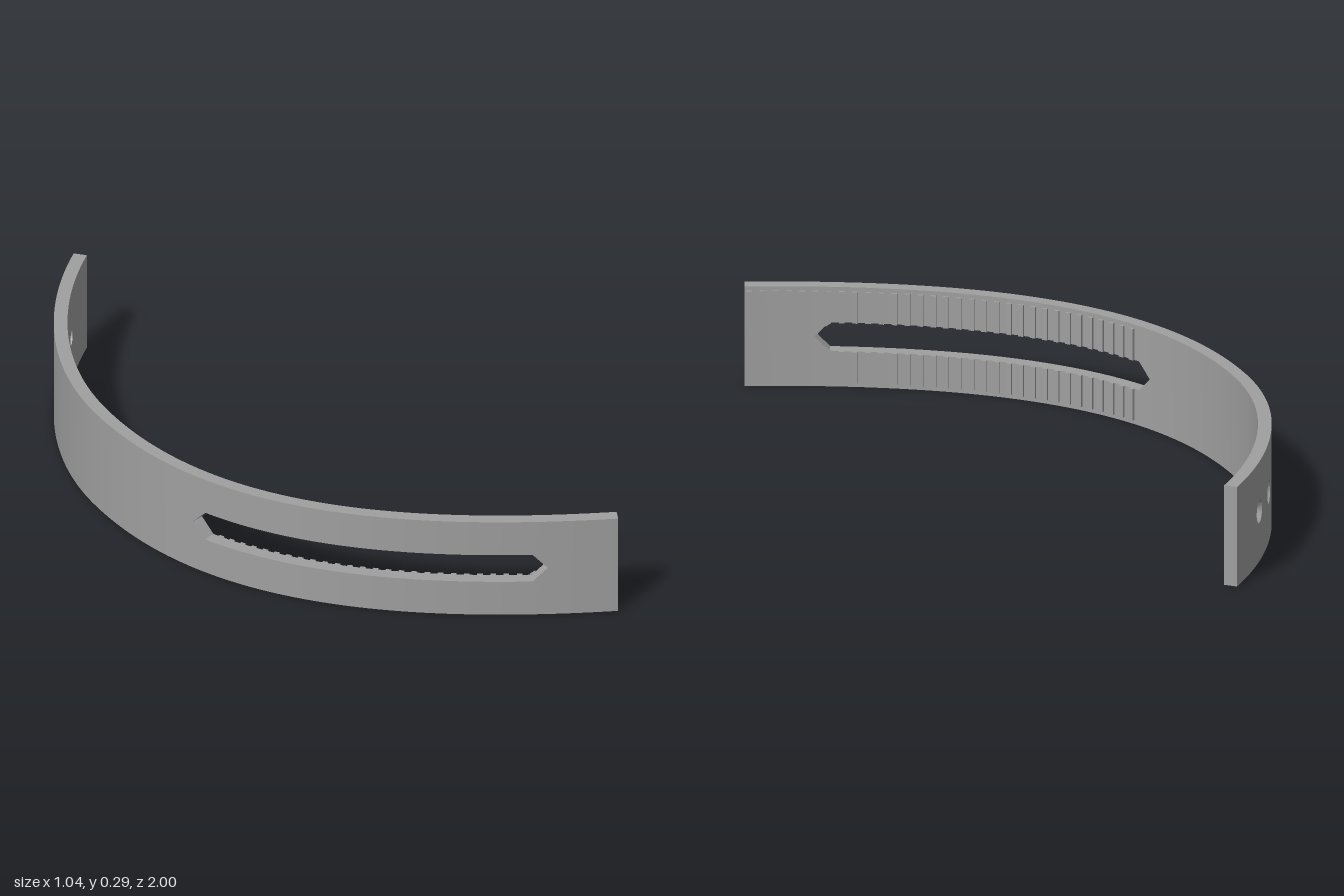
import * as THREE from 'three';
import { toCreasedNormals } from 'three/addons/utils/BufferGeometryUtils.js';

const H = 0.295, T = 0.038, MID = H / 2;
const SLOT = 0.0425; // half height of the slot
const V = (x, z) => new THREE.Vector2(x, z);

// Outer line of the band seen from above (x, z), running from back to front
const path = new THREE.CurvePath();
path.add(new THREE.CubicBezierCurve(V(-0.17, -1), V(-0.36, -0.8), V(-0.52, -0.5), V(-0.52, -0.19)));
path.add(new THREE.CubicBezierCurve(V(-0.52, -0.19), V(-0.52, 0.39), V(-0.153, 0.76), V(0.505, 1)));
const L = path.getLength();

// Point at length s along the band, height y, depth d inward from the outer face
function P(s, y, d) {
  const u = THREE.MathUtils.clamp(s / L, 0, 1);
  const c = path.getPoint(u), t = path.getTangent(u);
  return [c.x + t.y * d, y, c.y - t.x * d];
}

// Length along the band at a given z
function lengthAt(z) {
  let a = 0, b = 1;
  for (let i = 0; i < 30; i++) {
    const m = (a + b) / 2;
    if (path.getPoint(m).y < z) a = m; else b = m;
  }
  return a * L;
}

// Collects quads into one geometry
function builder() {
  const pos = [];
  const quad = (a, b, c, d) => pos.push(...a, ...b, ...c, ...a, ...c, ...d);
  return {
    quad,
    // Curved slab from s0 to s1 between two height functions
    panel(s0, s1, lo, hi, d0, d1, n, capStart = false, capEnd = false) {
      const corners = (s) => [P(s, lo(s), d0), P(s, hi(s), d0), P(s, hi(s), d1), P(s, lo(s), d1)];
      let a = corners(s0);
      if (capStart) quad(...a);
      for (let i = 1; i <= n; i++) {
        const b = corners(s0 + (s1 - s0) * i / n);
        quad(a[0], b[0], b[1], a[1]);
        quad(a[3], a[2], b[2], b[3]);
        quad(a[1], b[1], b[2], a[2]);
        quad(a[0], a[3], b[3], b[0]);
        a = b;
      }
      if (capEnd) quad(a[0], a[3], a[2], a[1]);
    },
    mesh(name, material, crease) {
      const g = new THREE.BufferGeometry();
      g.setAttribute('position', new THREE.Float32BufferAttribute(pos, 3));
      const m = new THREE.Mesh(toCreasedNormals(g, crease), material);
      m.name = name;
      return m;
    },
  };
}

// Full-height piece of band with a countersunk round hole
function holePiece(b, sc, hw) {
  const c = Math.atan2(MID, hw);
  const breaks = [-c, c, Math.PI - c, Math.PI + c, 2 * Math.PI - c];
  const profile = [[0.034, 0], [0.024, 0.019], [0.024, T]];
  const circle = (a, r, d) => P(sc + r * Math.cos(a), MID + r * Math.sin(a), d);
  const rim = (a, d) => {
    const k = Math.min(hw / Math.abs(Math.cos(a)), MID / Math.abs(Math.sin(a)));
    return circle(a, k, d);
  };
  for (let side = 0; side < 4; side++) {
    const n = side % 2 ? 6 : 14;
    for (let i = 0; i < n; i++) {
      const a0 = THREE.MathUtils.lerp(breaks[side], breaks[side + 1], i / n);
      const a1 = THREE.MathUtils.lerp(breaks[side], breaks[side + 1], (i + 1) / n);
      b.quad(circle(a0, 0.034, 0), rim(a0, 0), rim(a1, 0), circle(a1, 0.034, 0));
      b.quad(circle(a0, 0.024, T), circle(a1, 0.024, T), rim(a1, T), rim(a0, T));
      for (let k = 0; k < 2; k++) {
        const [r0, d0] = profile[k], [r1, d1] = profile[k + 1];
        b.quad(circle(a0, r0, d0), circle(a1, r0, d0), circle(a1, r1, d1), circle(a0, r1, d1));
      }
      if (side % 2) b.quad(rim(a1, 0), rim(a0, 0), rim(a0, T), rim(a1, T));
    }
  }
}

export function createModel() {
  const group = new THREE.Group();
  group.name = 'adjustableBand';
  const grey = new THREE.MeshStandardMaterial({ color: 0xa0a0a0 });
  grey.name = 'grey';

  const zero = () => 0, full = () => H;
  const tipA = lengthAt(0.25), tipB = lengthAt(0.927);
  const gap = (s) => Math.max(0, Math.min(SLOT, s - tipA, tipB - s));
  const slotLow = (s) => MID - gap(s), slotHigh = (s) => MID + gap(s);

  // Band: plain stretches around the two holes and the pointed slot
  const band = builder();
  const hw = 0.045;
  const h1 = lengthAt(-0.836), h2 = lengthAt(-0.702);
  band.panel(0, h1 - hw, zero, full, 0, T, 8, true);
  holePiece(band, h1, hw);
  band.panel(h1 + hw, h2 - hw, zero, full, 0, T, 4);
  holePiece(band, h2, hw);
  band.panel(h2 + hw, tipA, zero, full, 0, T, 48);
  const stops = [tipA, tipA + SLOT, tipB - SLOT, tipB];
  for (let i = 0; i < 3; i++) {
    const n = i === 1 ? 48 : 2;
    band.panel(stops[i], stops[i + 1], zero, slotLow, 0, T, n);
    band.panel(stops[i], stops[i + 1], slotHigh, full, 0, T, n);
  }
  band.panel(tipB, L, zero, full, 0, T, 10, false, true);
  group.add(band.mesh('band', grey, 0.4));

  // Grip ridges across the inner face, broken by the slot
  const ridges = builder();
  const count = 32, w = 0.016, margin = 0.012;
  const first = lengthAt(0.305), last = L - w - 0.004;
  const low = () => margin, high = () => H - margin;
  for (let i = 0; i < count; i++) {
    const s = first + (last - first) * i / (count - 1);
    if (gap(s) > 0 || gap(s + w) > 0) {
      ridges.panel(s, s + w, low, slotLow, T - 0.001, T + 0.007, 1, true, true);
      ridges.panel(s, s + w, slotHigh, high, T - 0.001, T + 0.007, 1, true, true);
    } else {
      ridges.panel(s, s + w, low, high, T - 0.001, T + 0.007, 1, true, true);
    }
  }
  group.add(ridges.mesh('gripRidges', grey, 0.4));
  return group;
}
